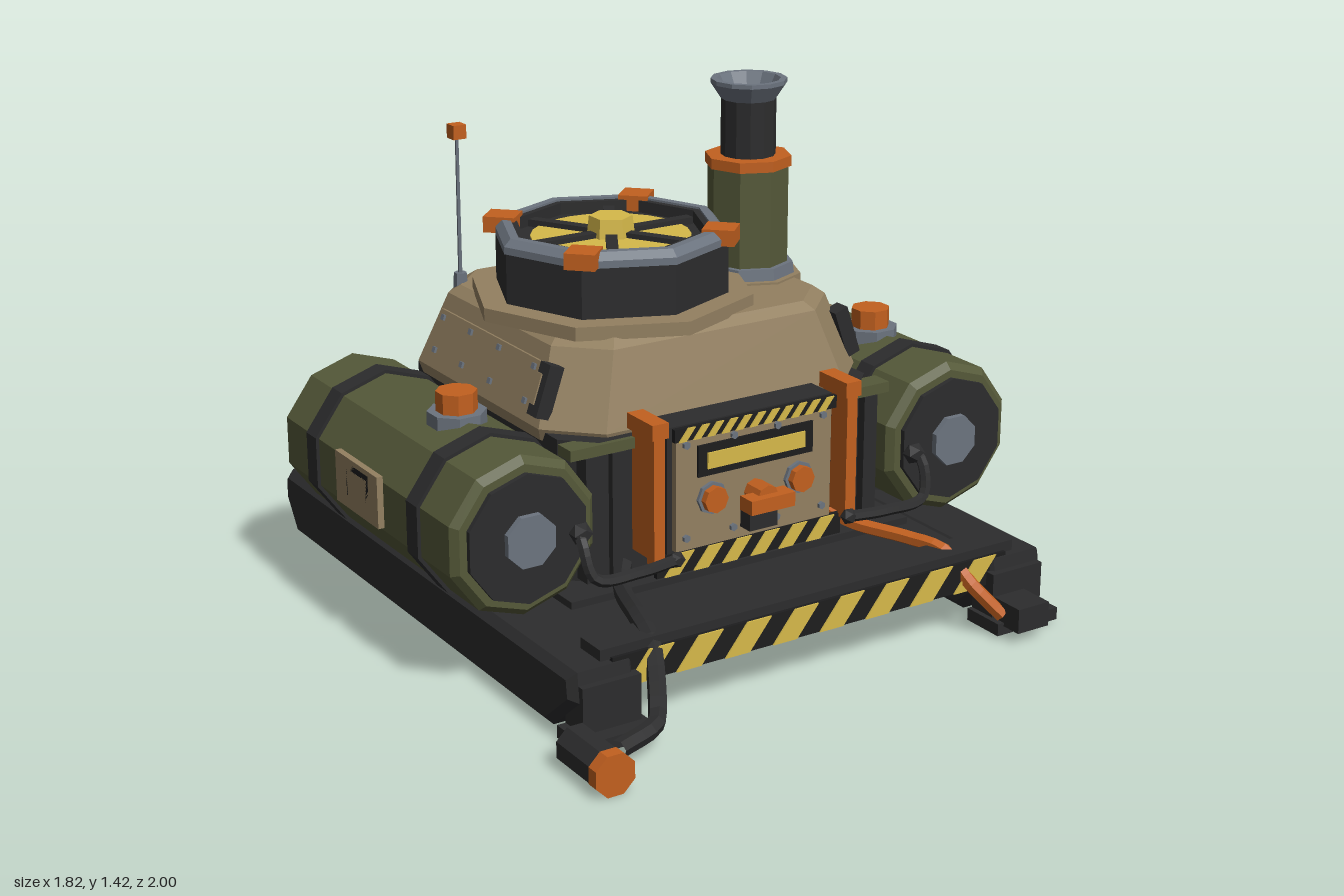
import * as THREE from 'three';

const mat = (name, color) => {
  const m = new THREE.MeshStandardMaterial({ color });
  m.name = name;
  return m;
};

export function createModel() {
  const root = new THREE.Group();
  root.name = 'crawlerVehicle';
  const dark = mat('charcoal', 0x2c2c2d), black = mat('black', 0x1d1d1e), olive = mat('olive', 0x555939),
    tan = mat('tan', 0x938061), steel = mat('steel', 0x6c747f), orange = mat('orange', 0xc2601f), yellow = mat('yellow', 0xd6b94a);

  // Helpers: every geometry gets faceted normals
  const add = (name, geo, m, x = 0, y = 0, z = 0, parent = root) => {
    const g = geo.index ? geo.toNonIndexed() : geo;
    g.computeVertexNormals();
    const mesh = new THREE.Mesh(g, m);
    mesh.name = name;
    mesh.position.set(x, y, z);
    parent.add(mesh);
    return mesh;
  };
  // Box from min and max on each axis
  const box = (name, m, x0, x1, y0, y1, z0, z1, parent) =>
    add(name, new THREE.BoxGeometry(x1 - x0, y1 - y0, z1 - z0), m, (x0 + x1) / 2, (y0 + y1) / 2, (z0 + z1) / 2, parent);
  // Upright prism between two heights
  const drum = (name, m, r0, r1, y0, y1, x, z, n = 8, turn = 0) =>
    add(name, new THREE.CylinderGeometry(r1, r0, y1 - y0, n), m, x, (y0 + y1) / 2, z).rotateY(turn);
  // Prism lying along z
  const rod = (name, m, r, z0, z1, x, y, n = 8, turn = 0, r2 = r) =>
    add(name, new THREE.CylinderGeometry(r2, r, z1 - z0, n).rotateY(turn).rotateX(Math.PI / 2), m, x, y, (z0 + z1) / 2);
  // Pipe with straight runs through the points
  const pipe = (name, m, r, pts) => {
    const path = new THREE.CurvePath();
    const v = pts.map(p => new THREE.Vector3(...p));
    for (let i = 1; i < v.length; i++) path.add(new THREE.LineCurve3(v[i - 1], v[i]));
    return add(name, new THREE.TubeGeometry(path, 32, r, 6), m);
  };
  const hose = (name, m, r, pts) => add(name, new THREE.TubeGeometry(
    new THREE.CatmullRomCurve3(pts.map(p => new THREE.Vector3(...p)), false, 'centripetal'), 20, r, 6), m);
  // Hull lofted through corner-cut rectangles [y, halfX, backZ, frontZ, cut]
  const hull = (name, m, levels) => {
    const rings = levels.map(([y, x, b, f, c]) => [[x, f - c], [x, b + c], [x - c, b], [c - x, b],
      [-x, b + c], [-x, f - c], [c - x, f], [x - c, f]].map(p => [p[0], y, p[1]]));
    const pos = [];
    const tri = (...p) => p.forEach(q => pos.push(...q));
    for (let k = 0; k + 1 < rings.length; k++) for (let i = 0; i < 8; i++) {
      const j = (i + 1) % 8, a = rings[k], t = rings[k + 1];
      tri(a[i], a[j], t[j]);
      tri(a[i], t[j], t[i]);
    }
    const lo = rings[0], hi = rings[rings.length - 1];
    for (let i = 1; i < 7; i++) {
      tri(hi[0], hi[i], hi[i + 1]);
      tri(lo[0], lo[i + 1], lo[i]);
    }
    const g = new THREE.BufferGeometry();
    g.setAttribute('position', new THREE.Float32BufferAttribute(pos, 3));
    return add(name, g, m);
  };
  // Striped warning plate facing front
  const hazard = (name, w, h, n, y, z) => {
    const g = new THREE.Group();
    g.name = name;
    g.position.set(0, y, z);
    root.add(g);
    box('plate', black, -w / 2, w / 2, -h / 2, h / 2, -0.015, 0, g);
    const lean = h * 0.8, p = (w - lean) / n;
    for (let i = 0; i < n; i++) {
      const x = -w / 2 + p * (i + 0.25);
      const s = new THREE.Shape([[x, -h / 2], [x + p / 2, -h / 2], [x + p / 2 + lean, h / 2], [x + lean, h / 2]]
        .map(q => new THREE.Vector2(...q)));
      add('stripe', new THREE.ExtrudeGeometry(s, { depth: 0.005, bevelEnabled: false }), yellow, 0, 0, 0, g);
    }
  };

  // Deck and bevelled skids
  box('deck', dark, -0.71, 0.71, 0.135, 0.205, -0.865, 0.72);
  box('bodyBase', dark, -0.55, 0.55, 0.2, 0.225, -0.66, 0.4);
  const skid = new THREE.Shape([[-0.74, 0.21], [-0.75, 0.13], [-0.62, 0.02], [0.87, 0.02], [0.94, 0.12], [0.94, 0.19], [0.92, 0.21]]
    .map(p => new THREE.Vector2(...p)));
  const skidBevel = { depth: 0.15, bevelSize: 0.022, bevelOffset: -0.022, bevelThickness: 0.022, bevelSegments: 1 };
  for (const s of [-1, 1]) {
    add('skid', new THREE.ExtrudeGeometry(skid, skidBevel).rotateY(Math.PI / 2), dark, s * 0.66 - 0.075, 0, 0);
    box('skidToe', dark, s * 0.65 - 0.085, s * 0.65 + 0.085, 0.05, 0.175, 0.68, 0.765);
    box('toePad', dark, s * 0.655 - 0.105, s * 0.655 + 0.105, 0.015, 0.05, 0.68, 0.81);
  }
  box('bumperLip', dark, -0.66, 0.66, 0.215, 0.245, 0.63, 0.725);
  hazard('bumperStripes', 1.26, 0.085, 8, 0.178, 0.735);
  hazard('bodyStripes', 0.6, 0.06, 6, 0.27, 0.42);

  // Lower body, upper shell and trim
  hull('lowerBody', dark, [[0.2, 0.5, -0.6, 0.33, 0.08], [0.62, 0.5, -0.6, 0.33, 0.08]]);
  hull('upperShell', tan, [[0.595, 0.505, -0.625, 0.3, 0.13], [0.63, 0.515, -0.635, 0.31, 0.13],
    [0.835, 0.445, -0.565, 0.25, 0.12], [0.858, 0.415, -0.535, 0.22, 0.11]]);
  box('frontTrim', olive, -0.515, 0.515, 0.59, 0.62, 0.28, 0.345);
  for (const x of [-0.45, -0.37, 0.37, 0.45]) box('frontRib', dark, x - 0.022, x + 0.022, 0.24, 0.59, 0.3, 0.35);

  // Riveted armour and vents on the sloping sides
  for (const s of [-1, 1]) {
    const side = new THREE.Group();
    side.name = 'sideArmour';
    side.position.set(s * 0.483, 0.73, 0);
    side.rotation.z = s * 0.33;
    root.add(side);
    box('armourPlate', tan, -0.01, 0.01, -0.07, 0.065, -0.44, 0.13, side);
    box('sideVent', dark, -0.022, 0.022, -0.075, 0.07, 0.14, 0.19, side);
    box('ventSlot', tan, -0.026, 0.026, -0.045, 0.04, 0.14, 0.165, side);
    for (const z of [0.1, -0.09, -0.25, -0.41]) for (const y of [-0.05, 0.045])
      box('rivet', steel, -0.017, 0.017, y - 0.008, y + 0.008, z - 0.008, z + 0.008, side);
  }

  // Rear grille and rails
  box('rearGrille', black, -0.43, 0.43, 0.24, 0.575, -0.625, -0.59);
  for (let i = 0; i < 7; i++)
    box('grilleSlat', dark, -0.42, 0.42, -0.012, 0.012, -0.02, 0.02).position.set(0, 0.275 + i * 0.045, -0.625);
  for (const s of [-1, 1]) box('grilleFrame', dark, s * 0.43 - 0.015, s * 0.43 + 0.015, 0.24, 0.575, -0.645, -0.59);
  pipe('rearRail', orange, 0.015, [[-0.285, 0.582, -0.61], [-0.29, 0.582, -0.757], [0.285, 0.582, -0.757], [0.28, 0.582, -0.61]]);
  pipe('towRail', orange, 0.015, [[-0.165, 0.2, -0.84], [-0.155, 0.2, -0.985], [0.155, 0.2, -0.985], [0.165, 0.2, -0.84]]);

  // Side tanks
  for (const s of [-1, 1]) {
    const x = s * 0.685, y = 0.44;
    rod('tank', olive, 0.22, -0.58, 0.385, x, y, 10);
    rod('tankRearBevel', olive, 0.205, -0.6, -0.58, x, y, 10, 0, 0.22);
    rod('tankFrontBevel', olive, 0.22, 0.385, 0.405, x, y, 10, 0, 0.2);
    rod('tankEnd', dark, 0.178, 0.4, 0.42, x, y, 10);
    rod('tankHub', steel, 0.075, 0.41, 0.438, x, y, 8, Math.PI / 8);
    for (const z of [0.2, -0.4]) rod('tankStrap', dark, 0.23, z - 0.03, z + 0.03, x, y, 10);
    drum('fillerCollar', steel, 0.08, 0.08, 0.63, 0.675, s * 0.68, 0.037, 8, Math.PI / 8);
    drum('fillerCap', orange, 0.056, 0.056, 0.67, 0.73, s * 0.68, 0.037, 8, Math.PI / 8);
    // Side plate with a small bar handle
    const px = s * 0.9;
    box('tankPlate', tan, px - 0.012, px + 0.006, 0.38, 0.525, -0.23, 0.02);
    box('handleTop', black, px - 0.012, px + 0.012, 0.488, 0.51, -0.165, -0.035);
    for (const z of [-0.153, -0.047]) box('handleLeg', black, px - 0.012, px + 0.012, 0.415, 0.5, z - 0.012, z + 0.012);
    // Dark front line
    hose('frontLine', dark, 0.016, [[s * 0.54, 0.44, 0.42], [s * 0.55, 0.41, 0.46], [s * 0.53, 0.32, 0.49], [s * 0.4, 0.31, 0.495], [s * 0.27, 0.315, 0.485]]);
    add('lineJoint', new THREE.IcosahedronGeometry(0.032), dark, s * 0.54, 0.43, 0.435);
    add('lineJoint', new THREE.IcosahedronGeometry(0.024), dark, s * 0.28, 0.315, 0.485);
    // Orange grab rail
    const gx = s * 0.31;
    box('grabRail', orange, gx - 0.017, gx + 0.017, 0.29, 0.67, 0.415, 0.45);
    box('grabRailWeb', orange, gx - 0.01, gx + 0.01, 0.3, 0.66, 0.33, 0.42);
    box('grabRailTop', orange, gx - 0.025, gx + 0.025, 0.645, 0.688, 0.33, 0.455);
  }

  // Control panel
  box('panelHousing', dark, -0.265, 0.265, 0.3, 0.655, 0.32, 0.415);
  box('panel', tan, -0.25, 0.25, 0.31, 0.62, 0.41, 0.435);
  hazard('panelStripes', 0.52, 0.036, 11, 0.64, 0.445);
  box('slot', black, -0.185, 0.185, 0.51, 0.598, 0.43, 0.442);
  box('slotBar', yellow, -0.157, 0.157, 0.53, 0.575, 0.44, 0.447);
  for (const x of [-0.14, 0.14]) {
    rod('dialRing', steel, 0.046, 0.43, 0.445, x, 0.445);
    rod('dial', orange, 0.037, 0.44, 0.465, x, 0.445);
  }
  for (const x of [-0.22, -0.07, 0.07, 0.22]) for (const y of [0.345, 0.607]) rod('panelBolt', steel, 0.011, 0.43, 0.444, x, y, 6);
  box('leverBase', dark, -0.045, 0.045, 0.34, 0.415, 0.43, 0.48);
  box('lever', orange, -0.07, 0.07, 0.405, 0.445, 0.47, 0.525);
  rod('leverStem', orange, 0.034, 0.43, 0.5, 0, 0.435);

  // Front hoses and lamp
  hose('orangeHose', orange, 0.021, [[0.33, 0.27, 0.33], [0.36, 0.25, 0.4], [0.43, 0.245, 0.56], [0.47, 0.235, 0.67], [0.5, 0.16, 0.745], [0.57, 0.07, 0.8]]);
  hose('darkHose', dark, 0.025, [[-0.36, 0.27, 0.35], [-0.41, 0.245, 0.42], [-0.48, 0.245, 0.62], [-0.5, 0.22, 0.71], [-0.54, 0.09, 0.8], [-0.57, 0.07, 0.84], [-0.71, 0.06, 0.89]]);
  box('hoseSocket', dark, 0.57, 0.675, 0.04, 0.11, 0.74, 0.87);
  rod('lampBody', dark, 0.057, 0.81, 0.965, -0.785, 0.06, 8, Math.PI / 8);
  rod('lampLens', orange, 0.059, 0.965, 1.0, -0.785, 0.06, 8, Math.PI / 8);

  // Roof fan
  const fx = -0.116, fz = -0.103;
  drum('turretPlate', tan, 0.4, 0.4, 0.852, 0.89, fx, fz);
  drum('fanDrum', dark, 0.33, 0.33, 0.89, 1.03, fx, fz);
  const ring = (name, m, profile, x, y, z, n) =>
    add(name, new THREE.LatheGeometry(profile.map(p => new THREE.Vector2(...p)), n), m, x, y, z);
  ring('fanWall', dark, [[0.27, 0], [0.295, 0], [0.295, 0.04], [0.27, 0.04], [0.27, 0]], fx, 1.024, fz, 8);
  ring('fanRim', steel, [[0.29, 0], [0.335, 0], [0.335, 0.02], [0.315, 0.04], [0.29, 0.04], [0.29, 0]], fx, 1.03, fz, 8);
  drum('fanDisc', yellow, 0.222, 0.222, 1.02, 1.036, fx, fz, 24);
  for (let i = 0; i < 3; i++)
    add('fanSpokes', new THREE.BoxGeometry(0.52, 0.022, 0.032), dark, fx, 1.039, fz).rotation.y = i * Math.PI / 3;
  drum('fanHub', yellow, 0.068, 0.06, 1.02, 1.09, fx, fz, 6);
  for (let i = 0; i < 4; i++) {
    const a = Math.PI / 4 + i * Math.PI / 2;
    add('rimClamp', new THREE.BoxGeometry(0.085, 0.045, 0.09), orange, fx + 0.308 * Math.sin(a), 1.054, fz + 0.308 * Math.cos(a)).rotation.y = a;
  }

  // Exhaust stack
  const ex = 0.337, ez = -0.1;
  drum('stackPad', tan, 0.155, 0.155, 0.83, 0.864, ex, ez);
  drum('stackFlange', steel, 0.137, 0.132, 0.86, 0.897, ex, ez);
  drum('stackSleeve', olive, 0.116, 0.116, 0.895, 1.175, ex, ez);
  drum('stackCollar', orange, 0.124, 0.124, 1.175, 1.205, ex, ez);
  ring('stackPipe', dark, [[0.078, 0], [0.078, 0.18], [0.06, 0.18], [0.06, 0.04], [0, 0.04]], ex, 1.2, ez, 12);
  ring('stackFlare', steel, [[0.078, 0], [0.108, 0.045], [0.108, 0.057], [0.09, 0.057], [0.062, 0.005], [0.078, 0]], ex, 1.365, ez, 12);

  // Antenna
  drum('antennaBase', steel, 0.022, 0.018, 0.82, 0.885, -0.4, -0.455, 6);
  drum('antennaRod', steel, 0.006, 0.005, 0.86, 1.28, -0.4, -0.455, 6);
  box('antennaTip', orange, -0.42, -0.38, 1.272, 1.312, -0.475, -0.435);

  return root;
}
